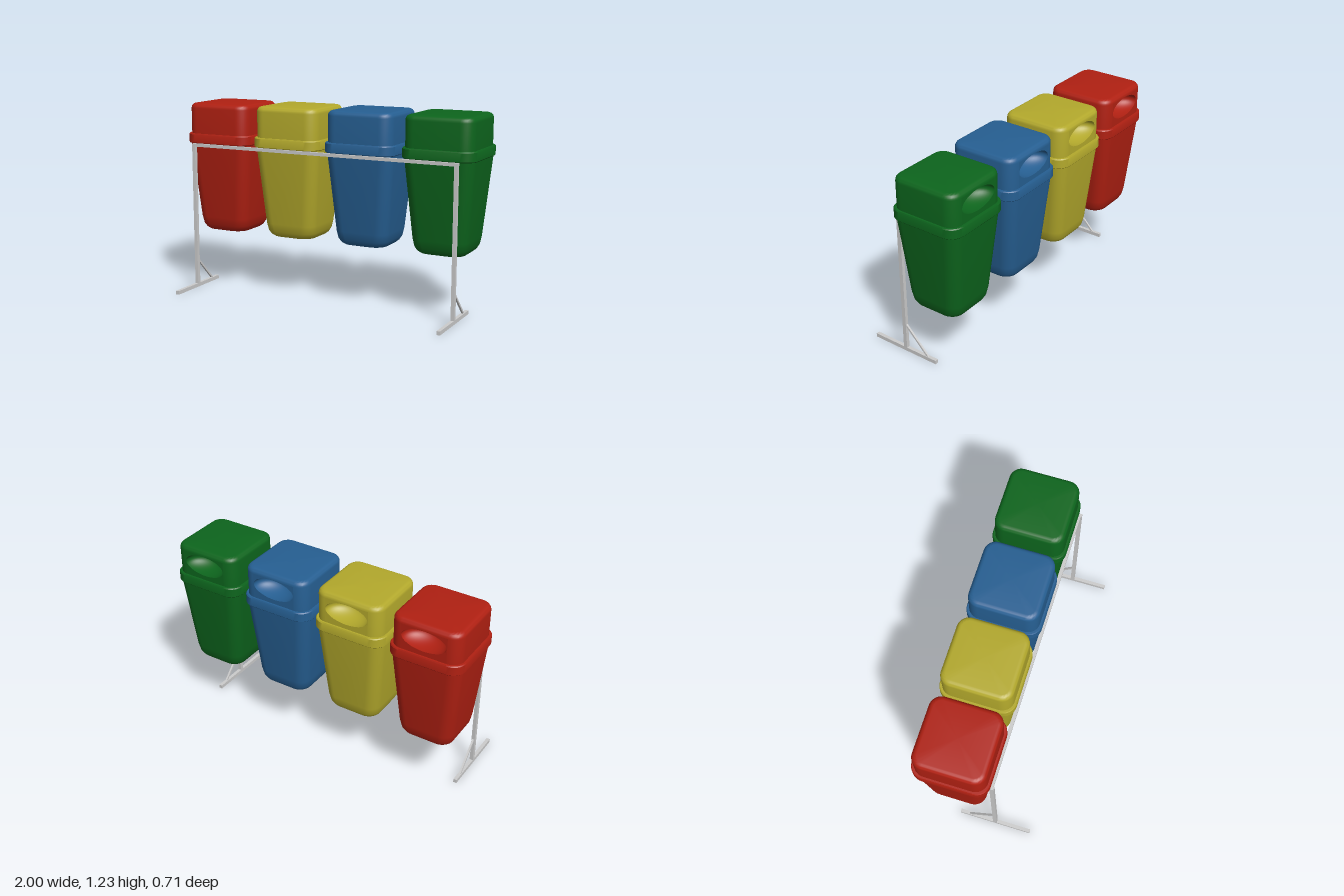
import * as THREE from 'three';
import { mergeVertices, toCreasedNormals } from 'three/addons/utils/BufferGeometryUtils.js';

const CORNER_STEPS = 8;
const HOLE = { y: 1.125, rx: 0.142, ry: 0.066, depth: 0.12 };
const LID = { half: 0.22, radius: 0.075, bottom: 1.03, wallTop: 1.194, top: 1.226 };

// Rounded square outline at height y
function ring(y, half, radius) {
  const r = Math.min(radius, half), c = half - r, points = [];
  for (let k = 0; k < 4; k++) {
    const sx = k === 0 || k === 3 ? 1 : -1, sz = k < 2 ? 1 : -1;
    for (let i = 0; i <= CORNER_STEPS; i++) {
      const a = (k + i / CORNER_STEPS) * Math.PI / 2;
      points.push([sx * c + r * Math.cos(a), y, sz * c + r * Math.sin(a)]);
    }
  }
  return points;
}

// Skin over rounded squares [y, half, radius]; can leave the flat back wall of one band open
function loft(sections, openBand = -1) {
  const n = 4 * (CORNER_STEPS + 1), backSegment = 3 * (CORNER_STEPS + 1) - 1;
  const index = [];
  for (let i = 0; i < sections.length - 1; i++) {
    for (let j = 0; j < n; j++) {
      if (i === openBand && j === backSegment) continue;
      const a = i * n + j, b = i * n + (j + 1) % n;
      index.push(a, a + n, b, b, a + n, b + n);
    }
  }
  const g = new THREE.BufferGeometry();
  const positions = sections.flatMap(s => ring(...s)).flat();
  g.setAttribute('position', new THREE.Float32BufferAttribute(positions, 3));
  g.setIndex(index);
  return toCreasedNormals(mergeVertices(g, 1e-5), 0.6);
}

function mesh(name, geometry, material) {
  const m = new THREE.Mesh(geometry, material);
  m.name = name;
  return m;
}

function createBin(name, color) {
  const bin = new THREE.Group();
  bin.name = name;
  const material = new THREE.MeshStandardMaterial({ color, side: THREE.DoubleSide });

  // Tapered container with rounded bottom
  bin.add(mesh('container', loft([
    [0.377, 0, 0], [0.377, 0.125, 0.075], [0.382, 0.143, 0.075], [0.395, 0.158, 0.075],
    [0.42, 0.171, 0.075], [0.47, 0.18, 0.075], [0.97, 0.224, 0.075],
  ]), material));

  // Projecting collar between container and lid
  bin.add(mesh('collar', loft([
    [0.966, 0.218, 0.075], [0.966, 0.231, 0.08], [0.971, 0.235, 0.082],
    [1.024, 0.235, 0.082], [1.03, 0.231, 0.08], [1.03, 0.215, 0.075],
  ]), material));

  // Lid with rounded top edge
  const sections = [[LID.bottom, LID.half, LID.radius], [LID.wallTop, LID.half, LID.radius]];
  const edge = LID.top - LID.wallTop;
  for (let i = 1; i <= 6; i++) {
    const a = i / 6 * Math.PI / 2, inset = edge * (1 - Math.cos(a));
    sections.push([LID.wallTop + edge * Math.sin(a), LID.half - inset, LID.radius - inset]);
  }
  sections.push([LID.top, 0, 0]);
  bin.add(mesh('lid', loft(sections, 0), material));

  // Back wall of the lid with the oval opening
  const w = LID.half - LID.radius;
  const wall = new THREE.Shape();
  wall.moveTo(-w, LID.bottom).lineTo(w, LID.bottom).lineTo(w, LID.wallTop).lineTo(-w, LID.wallTop);
  wall.closePath();
  wall.holes.push(new THREE.Path().absellipse(0, HOLE.y, HOLE.rx, HOLE.ry, 0, Math.PI * 2, true));
  const wallGeometry = new THREE.ShapeGeometry(wall, 24);
  wallGeometry.rotateY(Math.PI).translate(0, 0, -LID.half);
  bin.add(mesh('lidBackWall', wallGeometry, material));

  // Hollow behind the opening
  const hollow = new THREE.SphereGeometry(1, 48, 12, 0, Math.PI * 2, 0, Math.PI / 2);
  hollow.rotateX(Math.PI / 2).scale(HOLE.rx, HOLE.ry, HOLE.depth).translate(0, HOLE.y, -LID.half);
  bin.add(mesh('opening', hollow, material));
  return bin;
}

function createFrame() {
  const frame = new THREE.Group();
  frame.name = 'frame';
  const metal = new THREE.MeshStandardMaterial({ color: 0xcccccc });
  const bar = (name, w, h, d, x, y, z) => {
    const m = mesh(name, new THREE.BoxGeometry(w, h, d), metal);
    m.position.set(x, y, z);
    frame.add(m);
    return m;
  };
  const left = 0.904, right = -0.918;
  bar('topRail', left - right, 0.02, 0.022, (left + right) / 2, 0.957, 0.118);
  for (const [side, x] of [['left', left], ['right', right]]) {
    bar(side + 'Post', 0.022, 0.945, 0.025, x, 0.4945, 0.122);
    bar(side + 'Foot', 0.022, 0.024, 0.47, x, 0.012, 0.122);
    // Diagonal brace from post to foot
    const dy = 0.17, dz = 0.166;
    const brace = bar(side + 'Brace', 0.012, Math.hypot(dy, dz), 0.012, x, 0.103, 0.033);
    brace.rotation.x = Math.atan2(dz, dy);
  }
  return frame;
}

export function createModel() {
  const model = new THREE.Group();
  model.name = 'recyclingStation';
  const bins = [
    ['redBin', 0xb02012, -0.765], ['yellowBin', 0xb3a92c, -0.262],
    ['blueBin', 0x265f92, 0.247], ['greenBin', 0x0d651d, 0.765],
  ];
  for (const [name, color, x] of bins) {
    const bin = createBin(name, color);
    bin.position.set(x, 0, -0.12);
    model.add(bin);
  }
  model.add(createFrame());
  return model;
}
